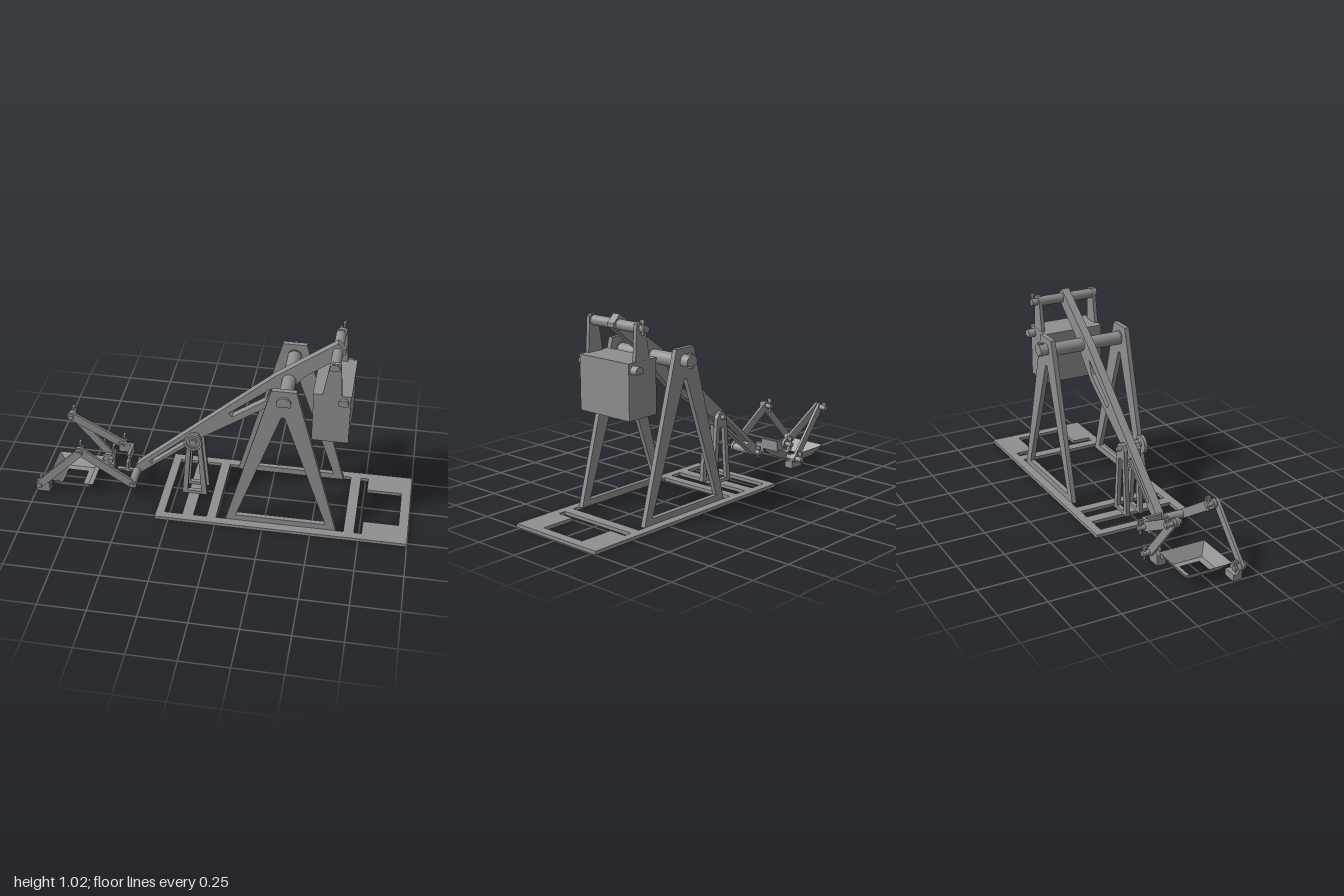
import * as THREE from 'three';

const grey = new THREE.MeshStandardMaterial({ color: 0x8f8f8f });
grey.name = 'grey';
const greySheet = grey.clone();
greySheet.side = THREE.DoubleSide;

export function createModel() {
  const root = new THREE.Group();
  root.name = 'catapult';

  const add = (name, geo, mat = grey, parent = root) => {
    const m = new THREE.Mesh(geo, mat);
    m.name = name;
    parent.add(m);
    return m;
  };
  const poly = (pts, Type = THREE.Shape) => new Type(pts.map(p => new THREE.Vector2(p[0], p[1])));
  const rect = (x0, x1, y0, y1) => [[x0, y0], [x1, y0], [x1, y1], [x0, y1]];
  const extrude = (shape, z0, z1) =>
    new THREE.ExtrudeGeometry(shape, { depth: z1 - z0, bevelEnabled: false, curveSegments: 14 }).translate(0, 0, z0);
  // Flat plate in the xy plane, with holes, between two z positions
  const plate = (name, pts, z0, z1, holes = []) => {
    const s = poly(pts);
    holes.forEach(h => s.holes.push(poly(h, THREE.Path)));
    return add(name, extrude(s, z0, z1));
  };
  const box = (name, x0, x1, y0, y1, z0, z1) => add(name,
    new THREE.BoxGeometry(x1 - x0, y1 - y0, z1 - z0).translate((x0 + x1) / 2, (y0 + y1) / 2, (z0 + z1) / 2));
  // Round rod along z
  const rod = (name, x, y, z0, z1, r) => add(name,
    new THREE.CylinderGeometry(r, r, z1 - z0, 24).rotateX(Math.PI / 2).translate(x, y, (z0 + z1) / 2));
  // Rod along z with a flat underside
  const flatRod = (name, x, y, z0, z1, r) => {
    const s = new THREE.Shape();
    s.absarc(x, y, r, -0.45, Math.PI + 0.45, false);
    s.closePath();
    return add(name, extrude(s, z0, z1));
  };
  // Straight link with rounded ends
  const link = (name, a, b, w, z0, z1) => {
    const t = Math.atan2(b[1] - a[1], b[0] - a[0]);
    const s = new THREE.Shape();
    s.absarc(b[0], b[1], w, t - Math.PI / 2, t + Math.PI / 2, false);
    s.absarc(a[0], a[1], w, t + Math.PI / 2, t + Math.PI * 1.5, false);
    s.closePath();
    return add(name, extrude(s, z0, z1));
  };
  // Upright locking key through the end of a pin
  const key = (x, y, z, h) => {
    add('keyShank', new THREE.CylinderGeometry(0.007, 0.007, h * 1.7, 12).translate(x, y + h * 0.1, z));
    box('keyHead', x - 0.006, x + 0.006, y + h * 0.55, y + h, z - 0.0135, z + 0.0135);
  };

  // Base frame with open bays between the cross bars
  const base = poly(rect(-0.32, 1, -0.275, 0.275));
  [
    rect(-0.275, -0.18, -0.23, 0.23), rect(-0.12, -0.05, -0.23, 0.23),
    rect(0, 0.67, -0.23, 0.23),
    [[0.725, -0.23], [0.765, -0.23], [0.765, -0.133], [0.95, -0.133],
      [0.95, 0.133], [0.765, 0.133], [0.765, 0.23], [0.725, 0.23]]
  ].forEach(h => base.holes.push(poly(h, THREE.Path)));
  add('baseFrame', extrude(base, 0, 0.018).rotateX(-Math.PI / 2));

  // Tall side frames and main axle
  for (const z of [0.217, -0.217]) {
    plate('sideFrame', [[0.05, 0.016], [0.63, 0.016], [0.4, 0.855], [0.275, 0.855]], z - 0.013, z + 0.013,
      [[[0.105, 0.05], [0.575, 0.05], [0.345, 0.7], [0.328, 0.7]]]);
  }
  rod('mainAxle', 0.338, 0.783, -0.204, 0.204, 0.036);
  flatRod('axleHead', 0.338, 0.788, 0.2, 0.243, 0.037);
  flatRod('axleEnd', 0.338, 0.788, -0.275, -0.2, 0.037);
  box('axleKey', 0.328, 0.348, 0.76, 0.832, -0.275, -0.248);

  // Throwing arm
  plate('throwingArm', [
    [-0.46, 0.088], [-0.11, 0.375], [0.235, 0.61], [0.33, 0.71], [0.42, 0.82], [0.612, 0.965],
    [0.612, 0.985], [0.57, 1.025], [0.4, 0.9], [0.265, 0.8], [-0.47, 0.147], [-0.487, 0.11], [-0.475, 0.09]
  ], -0.022, 0.022, [
    [[0.05, 0.525], [0.22, 0.645], [0.25, 0.725], [0.03, 0.545]],
    [[-0.385, 0.166], [-0.195, 0.328], [-0.21, 0.347], [-0.4, 0.178]]
  ]);

  // Counterweight, hangers and hanger pin
  box('counterweight', 0.475, 0.66, 0.54, 0.81, -0.166, 0.166);
  box('counterweightLid', 0.472, 0.663, 0.81, 0.82, -0.168, 0.168);
  for (const z of [0.161, -0.157]) {
    plate('hanger', [[0.52, 0.75], [0.615, 0.75], [0.615, 0.82], [0.603, 1.0], [0.59, 1.005], [0.56, 1.005],
      [0.547, 0.985], [0.52, 0.82]], z - 0.01, z + 0.01);
  }
  rod('hangerPin', 0.572, 0.975, -0.148, 0.152, 0.026);
  flatRod('hangerPinHead', 0.572, 0.978, 0.17, 0.18, 0.026);
  rod('hangerPinEnd', 0.572, 0.975, -0.2, -0.165, 0.018);
  key(0.585, 0.98, -0.188, 0.043);
  flatRod('lidPinHead', 0.625, 0.78, 0.165, 0.185, 0.026);
  flatRod('lidPinEnd', 0.625, 0.78, -0.205, -0.165, 0.026);

  // Small trigger stand with hand wheel
  for (const z of [0.04, -0.037]) {
    const s = poly([[-0.215, 0.016], [-0.08, 0.016], [-0.11, 0.375], [-0.125, 0.4], [-0.147, 0.407],
      [-0.169, 0.4], [-0.184, 0.375]]);
    s.holes.push(poly([[-0.185, 0.035], [-0.11, 0.035], [-0.13, 0.32], [-0.164, 0.32]], THREE.Path));
    add('triggerStand', extrude(s, z - 0.011, z + 0.011));
  }
  rod('triggerShaft', -0.147, 0.377, -0.07, 0.082, 0.012);
  const wheel = new THREE.Shape().absarc(-0.147, 0.377, 0.048, 0, Math.PI * 2);
  wheel.holes.push(new THREE.Path().absarc(-0.147, 0.377, 0.034, 0, Math.PI * 2));
  add('wheelRim', extrude(wheel, 0.068, 0.085));
  rod('wheelWeb', -0.147, 0.377, 0.07, 0.076, 0.036);
  rod('wheelHub', -0.147, 0.377, 0.07, 0.085, 0.02);

  // Pin at the low end of the arm
  rod('armEndBarrel', -0.468, 0.108, 0.02, 0.13, 0.022);
  rod('armEndPin', -0.468, 0.108, -0.05, 0.155, 0.013);
  key(-0.468, 0.108, -0.037, 0.035);

  // Sling links on the left side
  link('slingLink', [-0.745, 0.29], [-0.468, 0.108], 0.024, 0.131, 0.146);
  link('slingLink', [-0.745, 0.29], [-0.975, 0.055], 0.021, 0.151, 0.166);
  rod('slingPin', -0.745, 0.29, 0.095, 0.17, 0.013);
  key(-0.745, 0.29, 0.108, 0.045);
  rod('slingPin', -0.975, 0.055, 0.115, 0.178, 0.014);
  key(-0.975, 0.055, 0.125, 0.035);

  // Sling links on the right side
  link('slingLink', [-0.862, 0.31], [-0.578, 0.155], 0.024, -0.145, -0.13);
  link('slingLink', [-0.862, 0.31], [-0.65, 0.055], 0.021, -0.161, -0.147);
  rod('slingPin', -0.862, 0.31, -0.2, -0.115, 0.014);
  key(-0.862, 0.31, -0.188, 0.03);
  rod('slingPin', -0.65, 0.055, -0.2, -0.1, 0.014);
  key(-0.65, 0.055, -0.187, 0.045);
  rod('slingPin', -0.578, 0.155, -0.183, -0.11, 0.013);
  key(-0.578, 0.155, -0.17, 0.045);

  // Release bracket and hook
  box('releaseBracketSide', -0.6, -0.515, 0.12, 0.175, -0.128, -0.114);
  box('releaseBracketFace', -0.53, -0.515, 0.12, 0.175, -0.128, -0.02);
  box('releaseHook', -0.58, -0.48, 0.094, 0.104, -0.005, 0.016);
  box('releaseHookStem', -0.53, -0.515, 0.09, 0.15, -0.03, 0.018);

  // Open funnel pouch: rim, floor edge and hole edge joined by loops
  const loops = [
    [-0.942, -0.688, 0.065, 0.128], [-0.885, -0.735, 0.006, 0.088], [-0.878, -0.765, 0.004, 0.055]
  ].map(([x0, x1, y, z]) => [[x0, y, z], [x1, y, z], [x1, y, -z], [x0, y, -z]]);
  const pos = [];
  for (let k = 0; k < 2; k++) {
    for (let i = 0; i < 4; i++) {
      const j = (i + 1) % 4, a = loops[k][i], b = loops[k][j], c = loops[k + 1][j], d = loops[k + 1][i];
      pos.push(...a, ...d, ...c, ...a, ...c, ...b);
    }
  }
  const pouch = new THREE.BufferGeometry();
  pouch.setAttribute('position', new THREE.Float32BufferAttribute(pos, 3));
  pouch.computeVertexNormals();
  add('pouch', pouch, greySheet);

  // Lugs joining the pouch corners to the links
  const lug = [[-0.037, 0], [0.037, 0], [0.037, 0.055], [0.018, 0.078], [-0.018, 0.078], [-0.037, 0.055]];
  plate('pouchLug', lug.map(([x, y]) => [x - 0.963, y]), 0.128, 0.148);
  plate('pouchLug', lug.map(([x, y]) => [x - 0.667, y]), -0.146, -0.126);
  box('pouchLugFoot', -1, -0.925, 0, 0.035, 0.1, 0.13);
  box('pouchLugFoot', -0.705, -0.63, 0, 0.035, -0.128, -0.098);

  return root;
}
